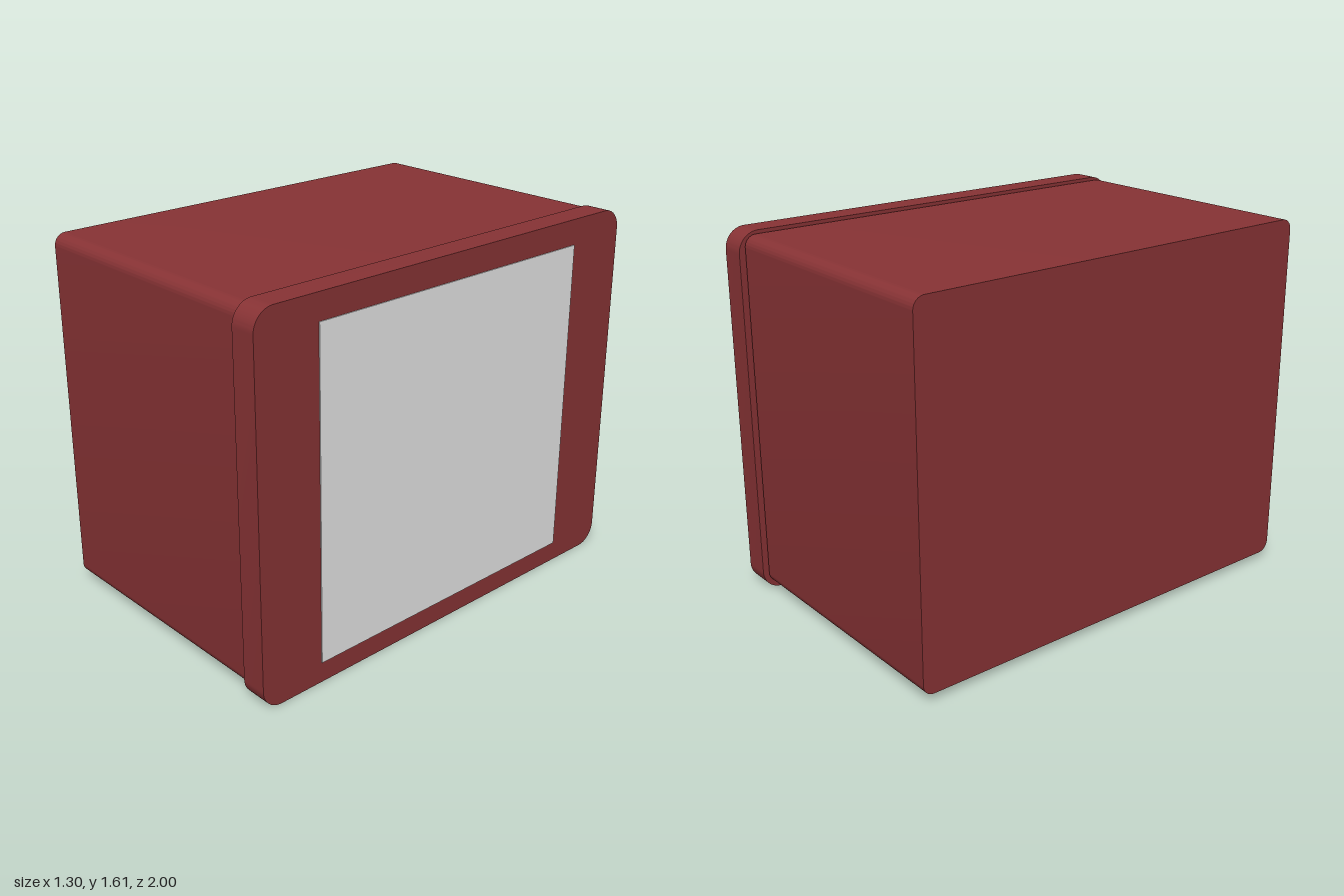
import * as THREE from 'three';
import { toCreasedNormals } from 'three/addons/utils/BufferGeometryUtils.js';

// Slab with rounded corners in the y-z plane, running from x0 to x1
function roundedSlab(x0, x1, y0, y1, halfDepth, r) {
  const s = new THREE.Shape();
  s.moveTo(-halfDepth + r, y0);
  s.lineTo(halfDepth - r, y0);
  s.absarc(halfDepth - r, y0 + r, r, -Math.PI / 2, 0);
  s.absarc(halfDepth - r, y1 - r, r, 0, Math.PI / 2);
  s.absarc(-halfDepth + r, y1 - r, r, Math.PI / 2, Math.PI);
  s.absarc(-halfDepth + r, y0 + r, r, Math.PI, Math.PI * 1.5);
  const g = new THREE.ExtrudeGeometry(s, { depth: x1 - x0, bevelEnabled: false, curveSegments: 10 });
  g.rotateY(Math.PI / 2).translate(x0, 0, 0);
  return toCreasedNormals(g, 0.6);
}

export function createModel() {
  const red = new THREE.MeshStandardMaterial({ color: 0x883335 });
  red.name = 'dark red';
  const pale = new THREE.MeshStandardMaterial({ color: 0xe7e7e7 });
  pale.name = 'pale grey';

  const model = new THREE.Group();
  model.name = 'box';
  const add = (name, geometry, material) => {
    const mesh = new THREE.Mesh(geometry, material);
    mesh.name = name;
    model.add(mesh);
    return mesh;
  };

  // Main case and the slightly larger cover, with a narrow open seam between
  add('case', roundedSlab(-0.65, 0.52, 0.035, 1.597, 0.977, 0.05), red);
  add('cover', roundedSlab(0.53, 0.646, 0, 1.61, 1, 0.09), red);

  // Thin square panel on the cover
  add('panel', new THREE.BoxGeometry(0.004, 1.41, 1.414), pale).position.set(0.648, 0.795, 0);

  return model;
}
